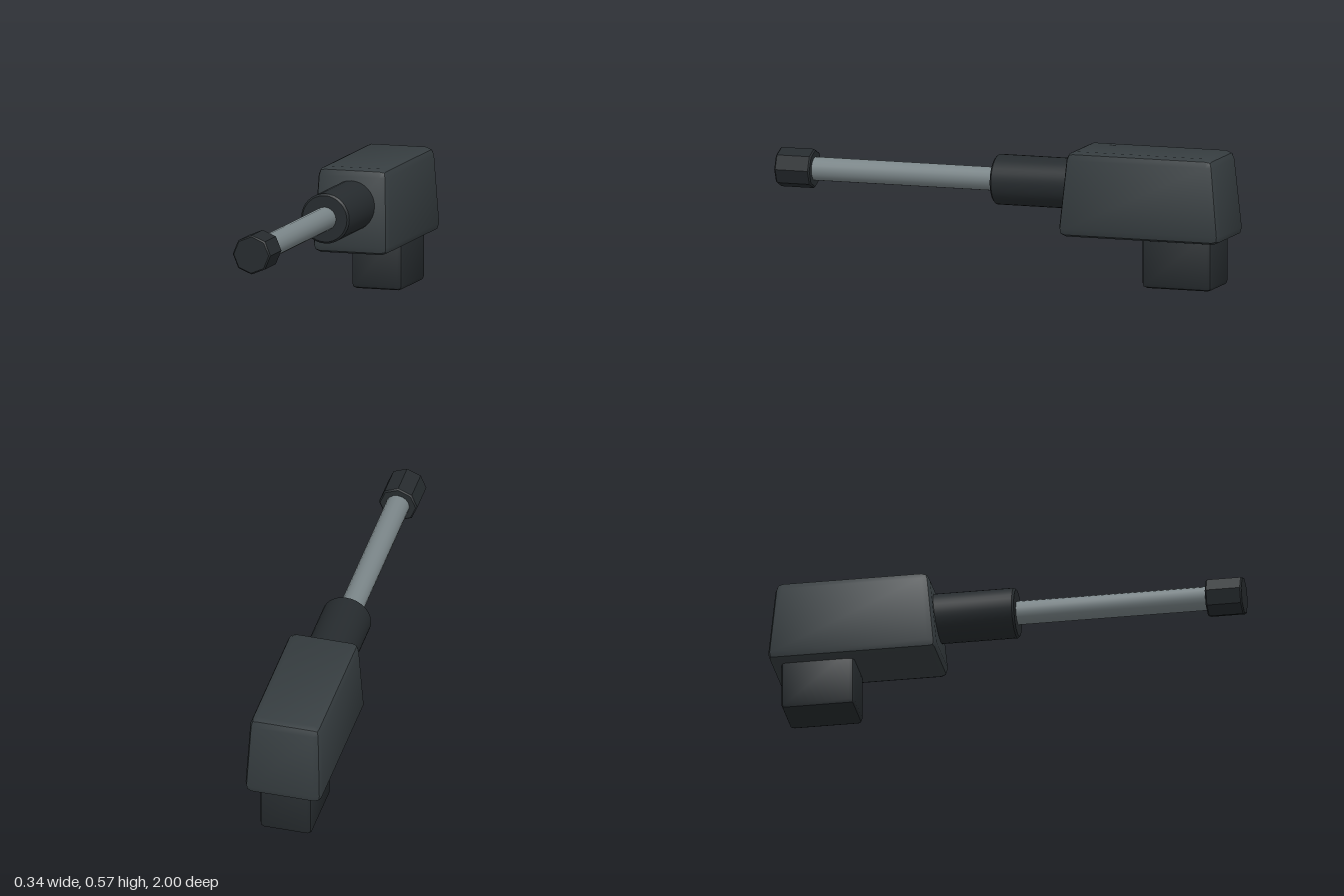
import * as THREE from 'three';
import { mergeVertices, toCreasedNormals } from 'three/addons/utils/BufferGeometryUtils.js';
import { RoundedBoxGeometry } from 'three/addons/geometries/RoundedBoxGeometry.js';

const AXIS_Y = 0.41; // height of the rod's centre line

// Box with two-step rounded edges, its top scaled by `taper`
function taperedBox(w, h, d, radius, taper) {
  let geo = new RoundedBoxGeometry(w, h, d, 1, radius);
  geo.deleteAttribute('uv');
  geo.deleteAttribute('normal');
  geo = mergeVertices(geo, 1e-4);
  const p = geo.attributes.position;
  for (let i = 0; i < p.count; i++) {
    const s = THREE.MathUtils.lerp(1, taper, p.getY(i) / h + 0.5);
    p.setX(i, p.getX(i) * s);
    p.setZ(i, p.getZ(i) * s);
  }
  return toCreasedNormals(geo, 0.6);
}

// Closed cylinder along z with chamfered rims
function chamferedRod(radius, z0, z1, sides, chamfer) {
  const profile = [
    [0, z0], [radius - chamfer, z0], [radius, z0 + chamfer],
    [radius, z1 - chamfer], [radius - chamfer, z1], [0, z1],
  ].map(([r, z]) => new THREE.Vector2(r, z));
  const geo = new THREE.LatheGeometry(profile, sides);
  geo.rotateX(Math.PI / 2);
  geo.translate(0, AXIS_Y, 0);
  return toCreasedNormals(geo, 0.6);
}

export function createModel() {
  const group = new THREE.Group();
  const bodyMat = new THREE.MeshStandardMaterial({ color: 0x363d40 });
  const darkMat = new THREE.MeshStandardMaterial({ color: 0x262b2e });
  const steelMat = new THREE.MeshStandardMaterial({ color: 0x7b8689 });

  const add = (name, geo, mat, y = 0, z = 0) => {
    const mesh = new THREE.Mesh(geo, mat);
    mesh.name = name;
    mesh.position.set(0, y, z);
    group.add(mesh);
  };

  // Housing and the block below it
  add('housing', taperedBox(0.339, 0.36, 0.722, 0.035, 0.9), bodyMat, 0.387, -0.642);
  add('lowerBlock', taperedBox(0.225, 0.26, 0.31, 0.02, 1), darkMat, 0.131, -0.795);

  // Sleeve, rod and eight-sided tip along the centre line
  add('sleeve', chamferedRod(0.106, -0.4, 0.037, 32, 0.008), darkMat);
  add('rod', chamferedRod(0.05, 0, 0.88, 16, 0.002), steelMat);
  add('tip', chamferedRod(0.083, 0.845, 1, 8, 0.006), darkMat);

  return group;
}
